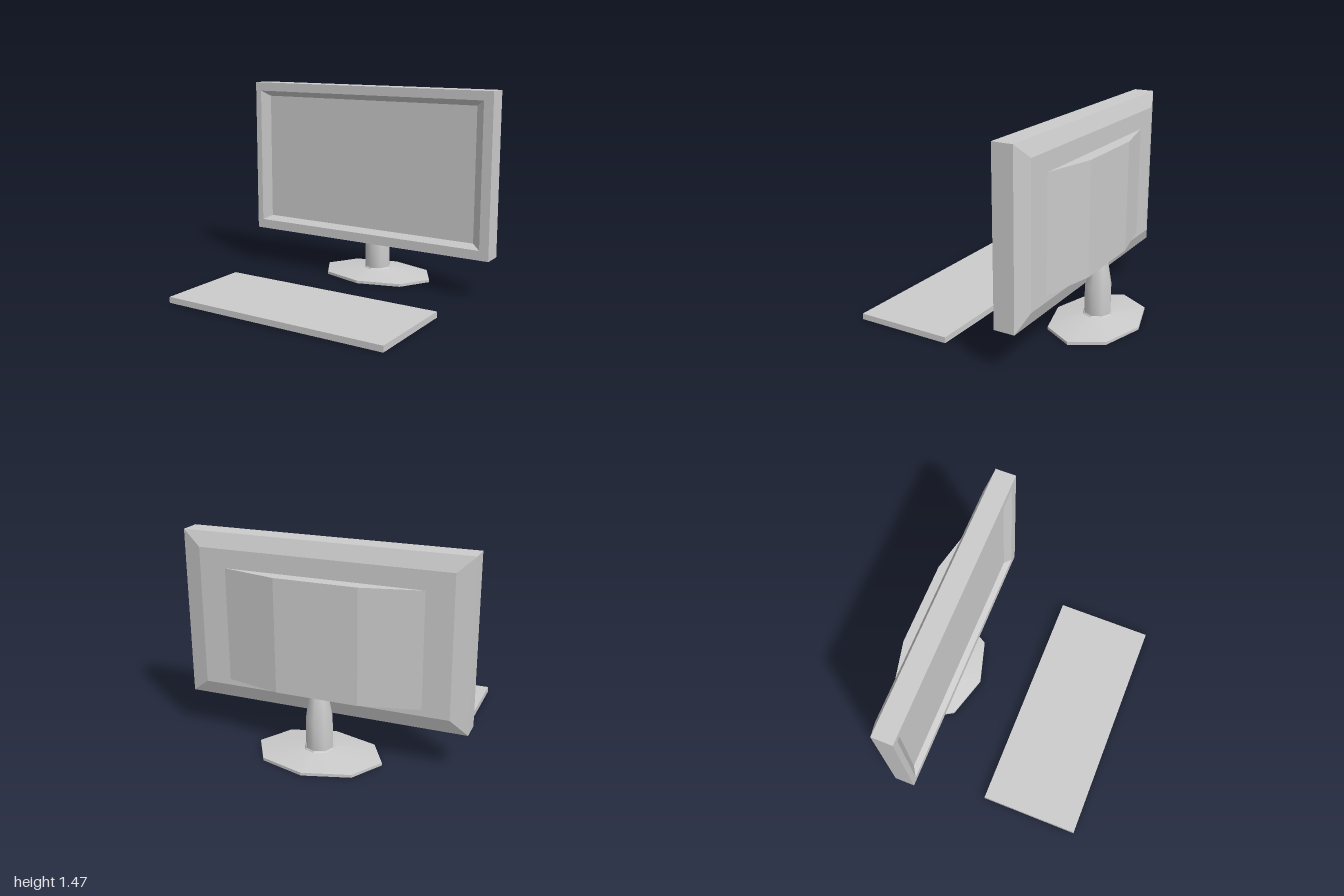
import * as THREE from 'three';
import { toCreasedNormals } from 'three/addons/utils/BufferGeometryUtils.js';

const grey = () => new THREE.MeshStandardMaterial({ color: 0xcccccc });

function part(name, geometry, parent) {
  const mesh = new THREE.Mesh(geometry, grey());
  mesh.name = name;
  parent.add(mesh);
  return mesh;
}

// Closed solid through rectangles [x0, x1, y0, y1, z], listed from rear to front
function rectLoft(rects) {
  const loops = rects.map(([x0, x1, y0, y1, z]) => [[x0, y0, z], [x1, y0, z], [x1, y1, z], [x0, y1, z]]);
  const positions = [];
  const quad = (a, b, c, d) => positions.push(...a, ...b, ...c, ...a, ...c, ...d);
  for (let k = 0; k < loops.length - 1; k++) {
    const a = loops[k], b = loops[k + 1];
    for (let i = 0; i < 4; i++) {
      const j = (i + 1) % 4;
      quad(a[i], a[j], b[j], b[i]);
    }
  }
  quad(...[...loops[0]].reverse());
  quad(...loops[loops.length - 1]);
  const geometry = new THREE.BufferGeometry();
  geometry.setAttribute('position', new THREE.Float32BufferAttribute(positions, 3));
  geometry.computeVertexNormals();
  return geometry;
}

// Eight-sided turned form from [radius, y] points, bottom to top
const octLathe = (points) => new THREE.LatheGeometry(points.map(([r, y]) => new THREE.Vector2(r, y)), 8);

export function createModel() {
  const model = new THREE.Group();
  model.name = 'desktopMonitorSet';

  // Screen housing: bevelled rear, straight sides, front bezel with sunken panel
  part('screenHousing', rectLoft([
    [-0.885, 0.867, 0.393, 1.362, -0.523],
    [-1, 1, 0.29, 1.465, -0.484],
    [-1, 1, 0.29, 1.465, -0.337],
    [-0.952, 0.93, 0.36, 1.4, -0.337],
    [-0.885, 0.867, 0.395, 1.36, -0.377],
  ]), model);

  // Rear bulge: trapezoid in plan, extruded upwards
  const plan = new THREE.Shape([[-0.7, 0.515], [0.68, 0.515], [0.68, 0.523], [0.285, 0.614], [-0.295, 0.614], [-0.7, 0.523]]
    .map(([x, y]) => new THREE.Vector2(x, y)));
  const bulge = new THREE.ExtrudeGeometry(plan, { depth: 0.797, bevelEnabled: false });
  bulge.rotateX(-Math.PI / 2).translate(0, 0.436, 0);
  part('rearBulge', bulge, model);

  const stand = new THREE.Group();
  stand.name = 'stand';
  stand.position.z = -0.55;
  model.add(stand);

  // Base: octagonal rim stretched sideways, sloping up to a round collar
  const base = octLathe([[0, 0.006], [0.1, 0.006], [0.107, 0], [0.315, 0], [0.315, 0.02], [0.107, 0.057], [0.1, 0.067], [0, 0.067]]);
  const p = base.attributes.position;
  for (let i = 0; i < p.count; i++) {
    if (Math.hypot(p.getX(i), p.getZ(i)) > 0.2) p.setX(i, p.getX(i) * 1.42);
  }
  part('standBase', toCreasedNormals(base, 0.5), stand);

  // Neck: upright column narrowing behind the screen
  const neck = octLathe([[0.097, 0.06], [0.097, 0.27], [0.068, 0.437], [0, 0.437]]);
  part('standNeck', toCreasedNormals(neck, 0.9), stand);

  // Keyboard slab lying in front
  const keyboard = part('keyboard', new THREE.BoxGeometry(1.7, 0.043, 0.715), model);
  keyboard.position.set(0, 0.026, 0.507);

  return model;
}
